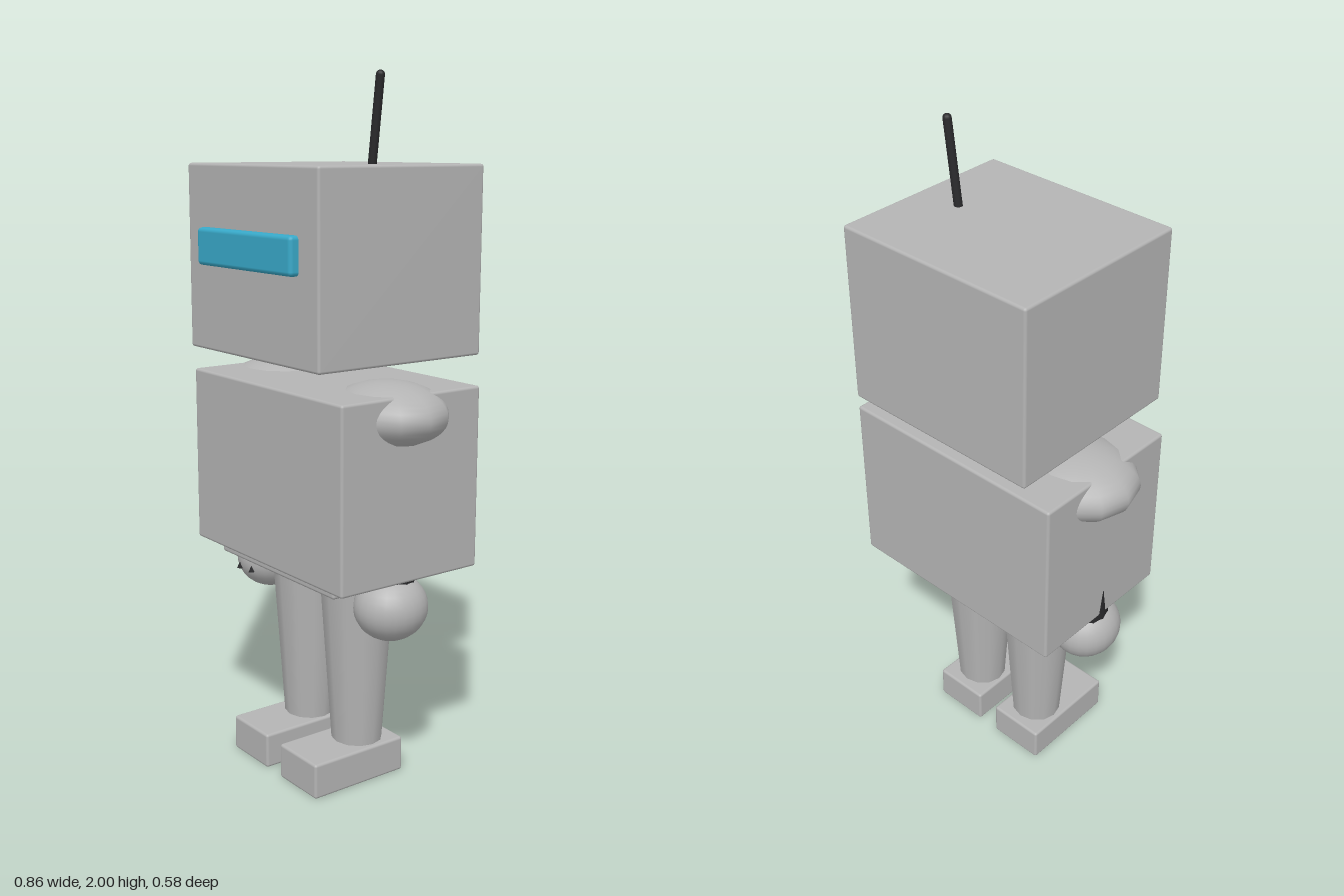
import * as THREE from 'three';
import { RoundedBoxGeometry } from 'three/addons/geometries/RoundedBoxGeometry.js';

export function createModel() {
  const robot = new THREE.Group();
  robot.name = 'robot';
  const shell = new THREE.MeshStandardMaterial({ name: 'shellGrey', color: 0xb4b4b4 });
  const glass = new THREE.MeshStandardMaterial({ name: 'visorBlue', color: 0x38a9c9 });
  const dark = new THREE.MeshStandardMaterial({ name: 'darkRubber', color: 0x29292b });

  function add(name, geometry, material, x = 0, y = 0, z = 0) {
    const mesh = new THREE.Mesh(geometry, material);
    mesh.name = name;
    mesh.position.set(x, y, z);
    robot.add(mesh);
    return mesh;
  }

  // Bevelled box given by its extents on each axis
  function box(name, [x0, x1], [y0, y1], [z0, z1], material = shell, bevel = 0.008) {
    const geometry = new RoundedBoxGeometry(x1 - x0, y1 - y0, z1 - z0, 2, bevel);
    return add(name, geometry, material, (x0 + x1) / 2, (y0 + y1) / 2, (z0 + z1) / 2);
  }

  // Head, visor, torso and hips
  box('head', [-0.312, 0.31], [1.24, 1.76], [-0.292, 0.263]);
  box('visor', [-0.227, 0.225], [1.482, 1.586], [0.2, 0.29], glass, 0.012);
  box('torso', [-0.36, 0.357], [0.648, 1.165], [-0.252, 0.225]);
  box('hips', [-0.278, 0.275], [0.615, 0.72], [-0.21, 0.19]);

  // Leaning antenna with a rounded tip
  const base = new THREE.Vector3(0.17, 1.74, -0.015);
  const tip = new THREE.Vector3(0.204, 1.988, -0.015);
  const rod = tip.clone().sub(base);
  const antenna = add('antenna', new THREE.CapsuleGeometry(0.012, rod.length(), 6, 12), dark);
  antenna.position.copy(base).addScaledVector(rod, 0.5);
  antenna.quaternion.setFromUnitVectors(new THREE.Vector3(0, 1, 0), rod.normalize());

  for (const side of [-1, 1]) {
    const label = side > 0 ? 'left' : 'right';

    // Arm: shoulder pad, tapered hose and ball hand
    const pad = new THREE.SphereGeometry(1, 12, 20).scale(0.18, 0.09, 0.163);
    add(label + 'Shoulder', pad, shell, side * 0.252 - 0.002, 1.1, -0.013);
    const hose = new THREE.CylinderGeometry(0.045, 0.066, 0.5, 12);
    add(label + 'Arm', hose, dark, side > 0 ? 0.285 : -0.3, 0.85, -0.005);
    const hand = new THREE.SphereGeometry(1, 24, 16).scale(0.1, 0.095, 0.107);
    add(label + 'Hand', hand, shell, side * 0.293 - 0.002, 0.564, 0.003);

    // Leg: tapered column on a block foot
    const leg = new THREE.CylinderGeometry(0.114, 0.076, 0.54, 12).scale(1, 1, 0.96);
    add(label + 'Leg', leg, shell, side * 0.119 - 0.002, 0.37, -0.015);
    const footX = side * 0.121 - 0.003;
    box(label + 'Foot', [footX - 0.088, footX + 0.088], [0.004, 0.108], [-0.117, 0.2]);
  }

  // Small dark points on the front of the right hand
  for (const [x, y, z] of [[-0.315, 0.545, 0.106], [-0.26, 0.545, 0.1], [-0.315, 0.634, 0.074]]) {
    add('handPoint', new THREE.ConeGeometry(0.012, 0.02, 4), dark, x, y, z);
  }

  return robot;
}
